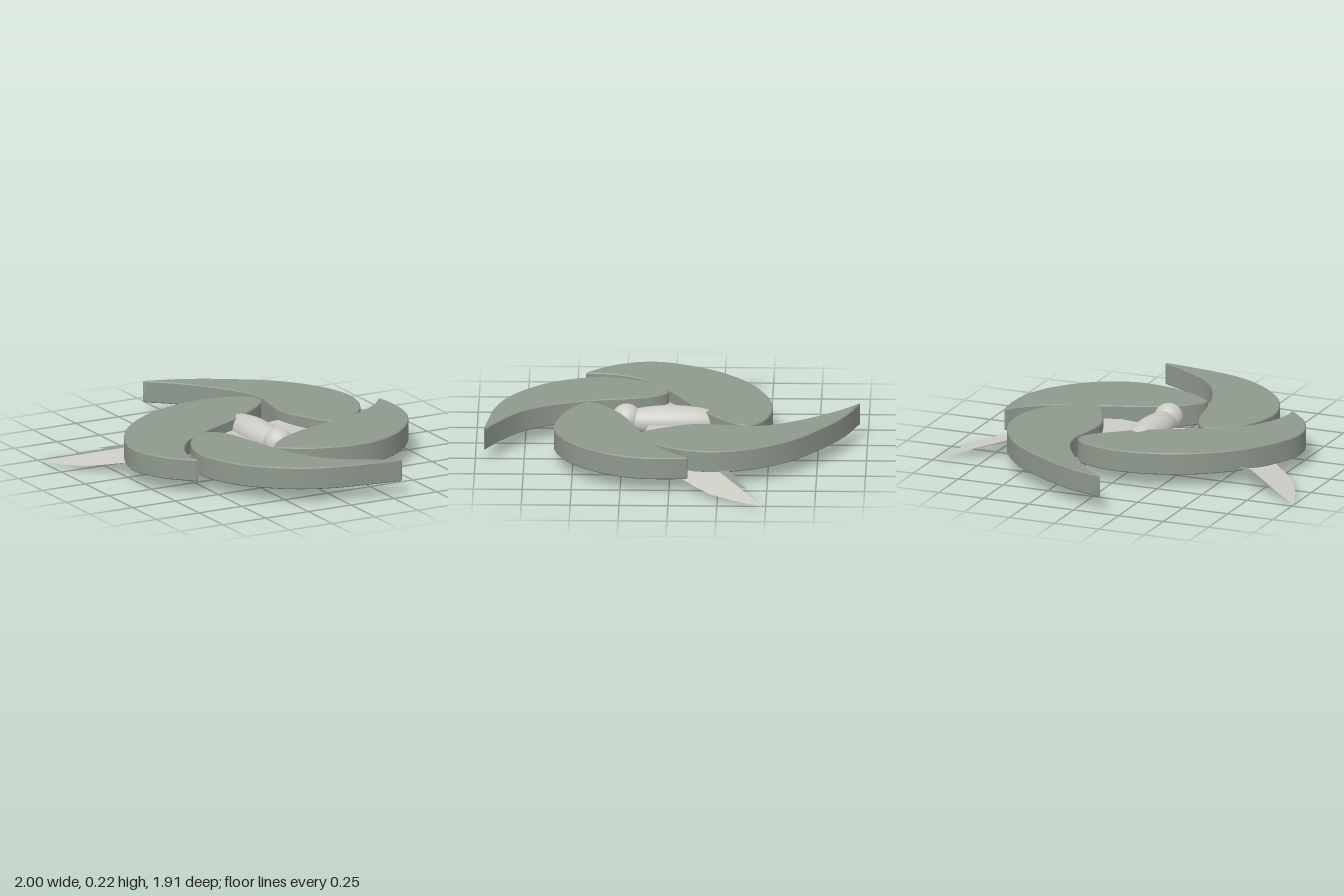
import * as THREE from 'three';
import { toCreasedNormals } from 'three/addons/utils/BufferGeometryUtils.js';

// Curved blade outlines as [x, z], each starting and ending at the narrow tip
const BLADES = {
  backBlade: [[-0.13, -0.96], [0.086, -0.885], [0.3, -0.76], [0.49, -0.61], [0.62, -0.42], [0.67, -0.235],
    [0.645, -0.075], [0.56, 0.065], [0.46, 0.12], [0.36, 0.15], [0.28, 0.03], [0.22, -0.13], [0.235, -0.29],
    [0.25, -0.4], [0.22, -0.53], [0.11, -0.71], [-0.02, -0.86], [-0.12, -0.945]],
  rightBlade: [[-0.588, 0.45], [-0.62, 0.433], [-0.727, 0.31], [-0.786, 0.14], [-0.754, -0.02], [-0.636, -0.225],
    [-0.45, -0.39], [-0.235, -0.487], [-0.05, -0.515], [0.085, -0.5], [0.19, -0.455], [0.235, -0.385],
    [0.2, -0.315], [0.11, -0.235], [-0.03, -0.134], [-0.235, -0.03], [-0.433, 0.09], [-0.54, 0.22],
    [-0.588, 0.353], [-0.59, 0.44]],
  frontBlade: [[0.325, 0.95], [0.19, 0.877], [0.03, 0.765], [-0.075, 0.62], [-0.144, 0.433], [-0.19, 0.2],
    [-0.235, 0.075], [-0.31, 0.02], [-0.42, 0.085], [-0.5, 0.22], [-0.53, 0.38], [-0.487, 0.54],
    [-0.396, 0.684], [-0.235, 0.82], [-0.05, 0.9], [0.19, 0.94], [0.315, 0.955]],
  leftBlade: [[0.765, -0.09], [0.777, -0.085], [0.787, 0.03], [0.77, 0.19], [0.69, 0.353], [0.55, 0.5],
    [0.38, 0.583], [0.22, 0.594], [0.03, 0.545], [-0.085, 0.476], [-0.128, 0.428], [-0.05, 0.33],
    [0.085, 0.246], [0.353, 0.15], [0.567, 0.075], [0.684, -0.005], [0.755, -0.08]],
};

function bladeGeometry(points) {
  const pts = points.map(([x, z]) => new THREE.Vector2(x, -z));
  const shape = new THREE.Shape().moveTo(pts[0].x, pts[0].y);
  shape.splineThru(pts.slice(1));
  const geo = new THREE.ExtrudeGeometry(shape, {
    depth: 0.105, curveSegments: 5, bevelEnabled: true,
    bevelThickness: 0.005, bevelSize: 0.005, bevelOffset: -0.005, bevelSegments: 1,
  });
  geo.rotateX(-Math.PI / 2).translate(0, 0.075, 0);
  return toCreasedNormals(geo, 0.5);
}

// Wing ribs: x, y, back z, front z
const RIBS = [[0.03, 0.125, -0.05, 0.1], [0.11, 0.13, -0.14, 0.12], [0.22, 0.13, -0.16, 0.14],
  [0.36, 0.115, -0.2, 0.15], [0.55, 0.093, -0.23, 0.08], [0.67, 0.073, -0.26, 0],
  [0.73, 0.06, -0.3, -0.06], [0.81, 0.043, -0.353, -0.13], [0.89, 0.025, -0.407, -0.215],
  [0.95, 0.012, -0.447, -0.335], [1, 0, -0.48, -0.478]];

function wingGeometry(side) {
  const pos = [], index = [];
  RIBS.forEach(([x, y, back, front], i) => {
    pos.push(side * x, y, back, side * x, y, front);
    if (i === 0) return;
    const a = 2 * i - 2;
    const quad = [a, a + 1, a + 2, a + 1, a + 3, a + 2];
    index.push(...(side > 0 ? quad : quad.reverse()));
  });
  const geo = new THREE.BufferGeometry();
  geo.setAttribute('position', new THREE.Float32BufferAttribute(pos, 3));
  geo.setIndex(index);
  geo.computeVertexNormals();
  return geo;
}

// Stepped feathers along the back edge, sloping with the wing
function featherGeometry(side) {
  const outline = [[0.5, -0.18], [0.5, -0.2], [0.62, -0.27], [0.727, -0.348], [0.717, -0.315],
    [0.84, -0.4], [0.83, -0.37], [0.67, -0.25]];
  const shape = new THREE.Shape(outline.map(([x, z]) => new THREE.Vector2(side * x, -z)));
  const geo = new THREE.ShapeGeometry(shape).rotateX(-Math.PI / 2);
  const p = geo.attributes.position;
  for (let i = 0; i < p.count; i++) p.setY(i, 0.006 + 0.22 * (1 - Math.abs(p.getX(i))));
  geo.computeVertexNormals();
  return geo;
}

export function createModel() {
  const model = new THREE.Group();
  const green = new THREE.MeshStandardMaterial({ color: 0x8f998d, side: THREE.DoubleSide });
  green.name = 'sage green';
  const pale = new THREE.MeshStandardMaterial({ color: 0xcbccc4, side: THREE.DoubleSide });
  pale.name = 'pale grey';

  const add = (name, geo, mat, parent = model) => {
    const mesh = new THREE.Mesh(geo, mat);
    mesh.name = name;
    parent.add(mesh);
    return mesh;
  };

  // Four swirling blades
  for (const [name, points] of Object.entries(BLADES)) add(name, bladeGeometry(points), green);

  // Bird in the middle
  const bird = new THREE.Group();
  bird.name = 'bird';
  model.add(bird);
  const body = add('body', new THREE.SphereGeometry(1, 32, 24), pale, bird);
  body.scale.set(0.086, 0.077, 0.28);
  body.position.set(0, 0.129, 0);
  const head = add('head', new THREE.SphereGeometry(0.075, 32, 20), pale, bird);
  head.position.set(0, 0.14, 0.232);
  const beak = add('beak', new THREE.ConeGeometry(0.02, 0.04, 16).rotateX(Math.PI / 2), green, bird);
  beak.position.set(0, 0.13, 0.312);

  // Mirrored wings and feathers
  for (const [label, side] of [['left', 1], ['right', -1]]) {
    add(label + 'Wing', wingGeometry(side), pale, bird);
    add(label + 'Feathers', featherGeometry(side), green, bird);
  }
  return model;
}
